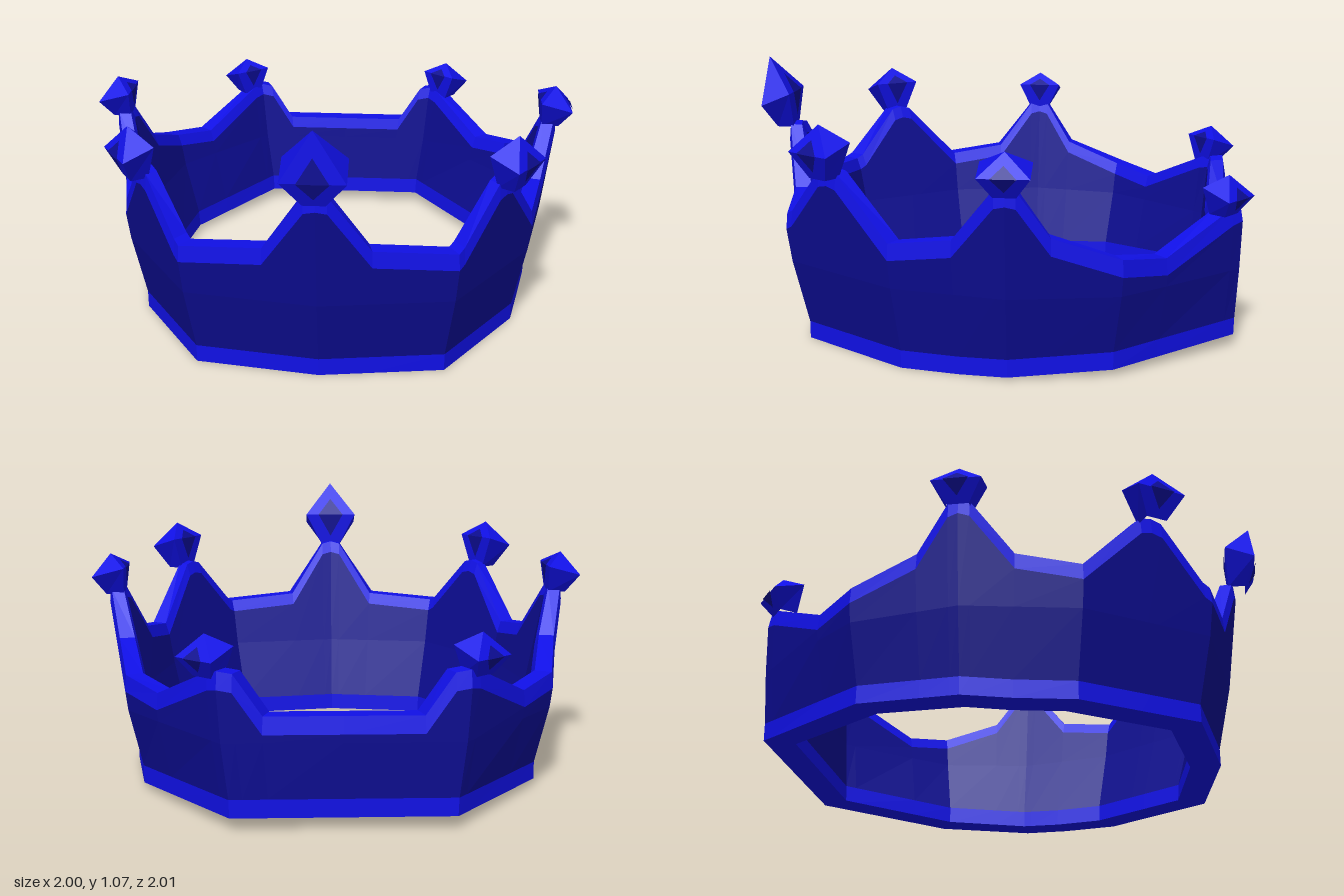
import * as THREE from 'three';

const trim = new THREE.MeshStandardMaterial({ color: 0x1010e6 });
trim.name = 'bright blue trim';
const panel = new THREE.MeshStandardMaterial({ color: 0x0c0c90 });
panel.name = 'deep blue panel';

// Faceted mesh from a flat list of corner points
function facets(points, material, name) {
  const geometry = new THREE.BufferGeometry().setFromPoints(points);
  geometry.computeVertexNormals();
  const mesh = new THREE.Mesh(geometry, material);
  mesh.name = name;
  return mesh;
}

const lerp = THREE.MathUtils.lerp;
const CENTRE_Z = -0.1;

// Footprint corners of the band, front to back: x, z, outward lean in z
const corners = [
  [0, 0.8, 1], [0.48, 0.73, 1], [0.76, 0.31, 1],
  [0.84, -0.1, 1], [0.77, -0.49, 1], [0.41, -0.96, 0.15], [-0.41, -0.96, 0.15],
];

// Rim heights: footprint edge, position along it, height
const rim = [
  [0, 0, 0.8], [0, 0.08, 0.79], [0, 0.39, 0.555],
  [1, 0, 0.53], [1, 0.06, 0.545], [1, 0.42, 0.74], [1, 0.5, 0.75], [1, 0.58, 0.74],
  [2, 0, 0.505], [2, 0.55, 0.54], [2, 0.91, 0.74],
  [3, 0, 0.75], [3, 0.09, 0.74], [3, 0.38, 0.56],
  [4, 0, 0.47], [4, 0.35, 0.44], [4, 0.91, 0.58],
  [5, 0, 0.59], [5, 0.06, 0.58], [5, 0.17, 0.425], [5, 0.5, 0.425],
];

// The wall leans outward, more strongly in its lower part
function leanAt(y) {
  if (y < 0.1) return 0;
  return y < 0.33 ? (y - 0.1) * 0.28 : 0.064 + (y - 0.33) * 0.15;
}

// Closed cross-section of the wall: up the outside, over the rim, down the inside
function section([edge, t, top]) {
  const [x, z, lean] = corners[edge].map((v, i) => lerp(v, corners[edge + 1][i], t));
  const bottom = Math.max(0, (0.1 - z) * 0.047);
  const at = (y, inner, inset = 1) => {
    const k = (inner ? 0.865 + 0.08 * y : 1) * inset;
    return new THREE.Vector3(
      x * (1 + leanAt(y)) * k, y,
      (z - CENTRE_Z) * (1 + leanAt(y) * lean) * k + CENTRE_Z);
  };
  const panelTop = top - 0.065;
  return [
    at(bottom), at(bottom + 0.07), at(0.33), at(panelTop), at(top, false, 0.985),
    at(top, true, 1.01), at(top - 0.05, true), at(0.33, true),
    at(bottom + 0.07, true), at(bottom, true),
  ];
}

function buildBand(group) {
  const half = rim.map(section);
  const mirrored = half.slice(1, -1).reverse()
    .map(s => s.map(p => new THREE.Vector3(-p.x, p.y, p.z)));
  const loop = [...half, ...mirrored];
  const trimPoints = [], outer = [], inner = [];
  loop.forEach((s, i) => {
    const n = loop[(i + 1) % loop.length];
    for (let j = 0; j < s.length; j++) {
      const k = (j + 1) % s.length;
      const list = j === 1 || j === 2 ? outer : j === 6 || j === 7 ? inner : trimPoints;
      list.push(s[j], n[j], n[k], s[j], n[k], s[k]);
    }
  });
  group.add(
    facets(trimPoints, trim, 'bandTrim'),
    facets(outer, panel, 'outerPanels'),
    facets(inner, panel, 'innerPanels'));
}

// Pointed finial: small neck, wide tilted waist, apex, and a dark diamond front and back
function finial({ x, z, out, neck, waist, top, w, d, tilt, apex = 0 }) {
  const n = new THREE.Vector3(out[0], 0, out[1]).normalize();
  const u = new THREE.Vector3(n.z, 0, -n.x);
  const point = (a, y, b) => new THREE.Vector3(x, y, z).addScaledVector(u, a).addScaledVector(n, b);
  const signs = [[1, 1], [1, -1], [-1, -1], [-1, 1]];
  const low = signs.map(([a, b]) => point(a * 0.042, neck, b * 0.035 - 0.02));
  const mid = signs.map(([a, b]) => point(a * w, waist - b * tilt, b * d));
  const tip = point(0, top, apex);
  const body = [], inlay = [];
  for (let i = 0; i < 4; i++) {
    const j = (i + 1) % 4;
    body.push(low[i], low[j], mid[j], low[i], mid[j], mid[i], mid[i], mid[j], tip);
    if (i % 2 === 0) continue;
    const centre = mid[i].clone().lerp(mid[j], 0.5);
    const lift = n.clone().multiplyScalar(i === 3 ? 0.005 : -0.005);
    const toward = (p, t) => centre.clone().lerp(p, t).add(lift);
    const left = toward(mid[i], 0.5), right = toward(mid[j], 0.5);
    const foot = toward(low[i].clone().lerp(low[j], 0.5), 0.7);
    inlay.push(left, right, toward(tip, 0.5), left, foot, right);
  }
  const group = new THREE.Group();
  group.add(facets(body, trim, 'finialBody'), facets(inlay, panel, 'finialInlay'));
  return group;
}

export function createModel() {
  const crown = new THREE.Group();
  crown.name = 'crown';
  buildBand(crown);

  const front = finial({
    x: 0, z: 0.94, out: [0, 1], neck: 0.78, waist: 0.905, top: 1.073,
    w: 0.118, d: 0.06, tilt: 0.025, apex: 0.05,
  });
  front.name = 'frontFinial';
  crown.add(front);

  // Paired finials on the left and right
  const pairs = [
    ['frontSideFinial', { x: 0.725, z: 0.605, out: [0.83, 0.55], neck: 0.72, waist: 0.84, top: 0.925, w: 0.1, d: 0.062, tilt: 0.02 }],
    ['sideFinial', { x: 0.93, z: -0.1, out: [1, 0], neck: 0.72, waist: 0.815, top: 0.882, w: 0.095, d: 0.064, tilt: 0.017 }],
    ['backFinial', { x: 0.49, z: -0.91, out: [0.62, -0.78], neck: 0.56, waist: 0.65, top: 0.715, w: 0.085, d: 0.06, tilt: 0.02 }],
  ];
  for (const [name, spec] of pairs) {
    for (const side of [1, -1]) {
      const piece = finial({ ...spec, x: spec.x * side, out: [spec.out[0] * side, spec.out[1]] });
      piece.name = (side > 0 ? 'left ' : 'right ') + name;
      crown.add(piece);
    }
  }
  return crown;
}
